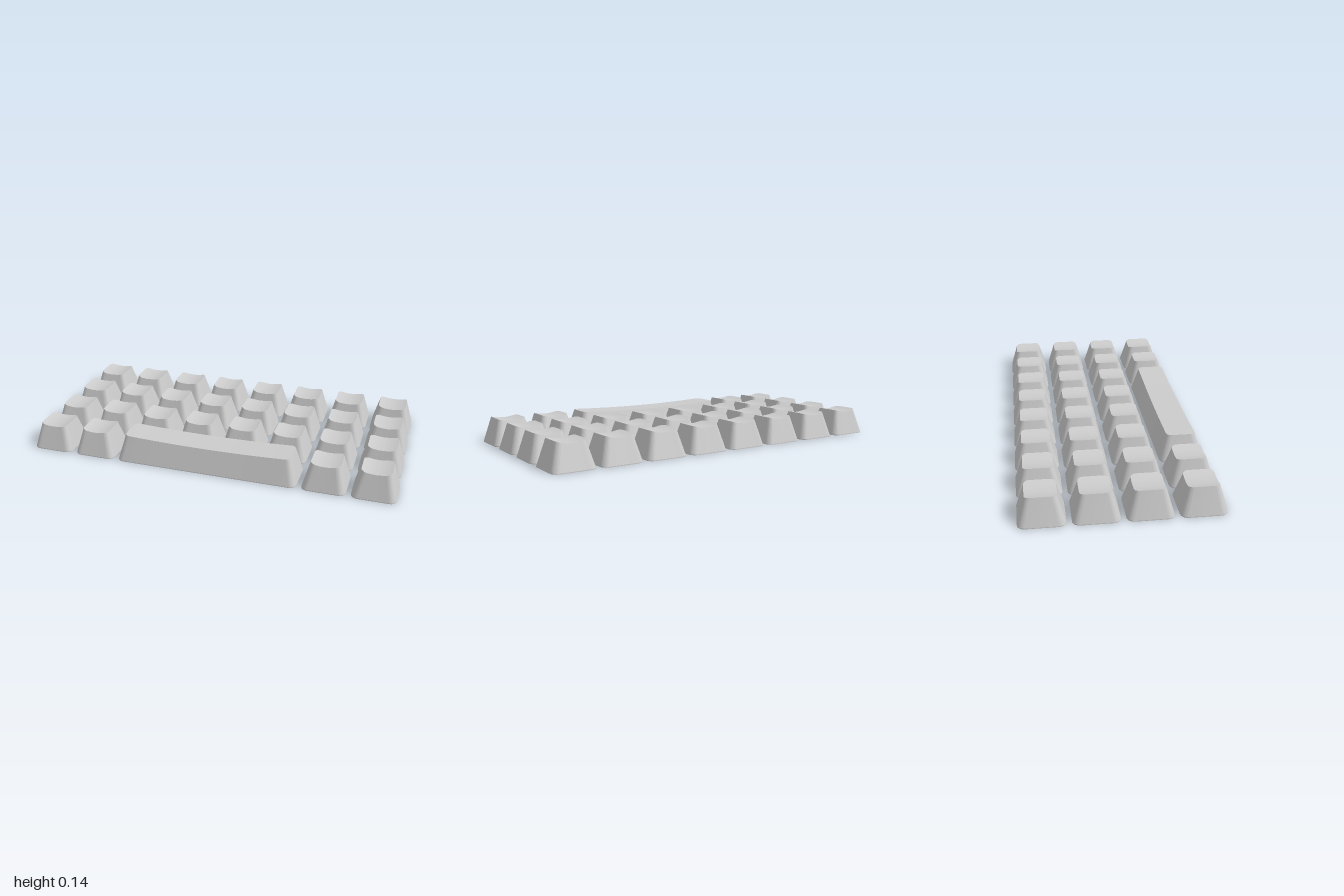
import * as THREE from 'three';
import { toCreasedNormals } from 'three/addons/utils/BufferGeometryUtils.js';

const PITCH = 0.2533, KEY = 0.228, INSET = 0.0375;
const ARC = 8, DISH = 14;

// Rounded rectangle, front half from +x to -x, then the back half mirrored.
function ring(width, depth, r, height) {
  const hx = width / 2, hz = depth / 2, half = [];
  for (let i = 0; i <= ARC; i++) {
    const a = (i / ARC) * Math.PI / 2;
    half.push([hx - r + r * Math.cos(a), hz - r + r * Math.sin(a)]);
  }
  for (let i = 1; i < DISH; i++) half.push([(hx - r) * (1 - 2 * i / DISH), hz]);
  for (let i = ARC; i >= 0; i--) half.push([-half[i][0], half[i][1]]);
  const back = half.map(([x, z]) => [x, -z]).reverse();
  return [...half, ...back].map(([x, z]) => [x, height(x / hx), z]);
}

// Tapered keycap: short upright lip, sloping sides, top dished across x.
function keycapGeometry(width) {
  const rings = [
    ring(width, KEY, 0.036, () => 0),
    ring(width, KEY, 0.036, () => 0.004),
    ring(width - 2 * INSET, KEY - 2 * INSET, 0.027, t => 0.13 + 0.012 * t * t),
  ];
  const n = rings[0].length, last = (rings.length - 1) * n, index = [];
  for (let k = 0; k < rings.length - 1; k++) {
    for (let i = 0; i < n; i++) {
      const a = k * n + i, b = k * n + (i + 1) % n;
      index.push(a, a + n, b, b, a + n, b + n);
    }
  }
  // Caps: strips joining front and back points of equal x
  for (let i = 0; i < n / 2 - 1; i++) {
    const j = n - 1 - i;
    index.push(last + i, last + j, last + i + 1, last + i + 1, last + j, last + j - 1);
    index.push(i, i + 1, j, i + 1, j - 1, j);
  }
  const geo = new THREE.BufferGeometry();
  geo.setAttribute('position', new THREE.Float32BufferAttribute(rings.flat(2), 3));
  geo.setIndex(index);
  return toCreasedNormals(geo, 0.24);
}

export function createModel() {
  const group = new THREE.Group();
  group.name = 'keycapSet';
  const material = new THREE.MeshStandardMaterial({ color: 0xcccccc });

  const add = (geometry, name, x, z) => {
    const mesh = new THREE.Mesh(geometry, material);
    mesh.name = name;
    mesh.position.set(x, 0, z);
    group.add(mesh);
  };

  // Four rows of eight, the middle four of the front row replaced by the long bar
  const keyGeo = keycapGeometry(KEY);
  for (let row = 0; row < 4; row++) {
    for (let col = 0; col < 8; col++) {
      if (row === 3 && col > 1 && col < 6) continue;
      add(keyGeo, `key_row${row + 1}_col${col + 1}`, (col - 3.5) * PITCH, (row - 1.5) * PITCH);
    }
  }
  add(keycapGeometry(3 * PITCH + KEY), 'spaceBar', 0, 1.5 * PITCH);
  return group;
}
